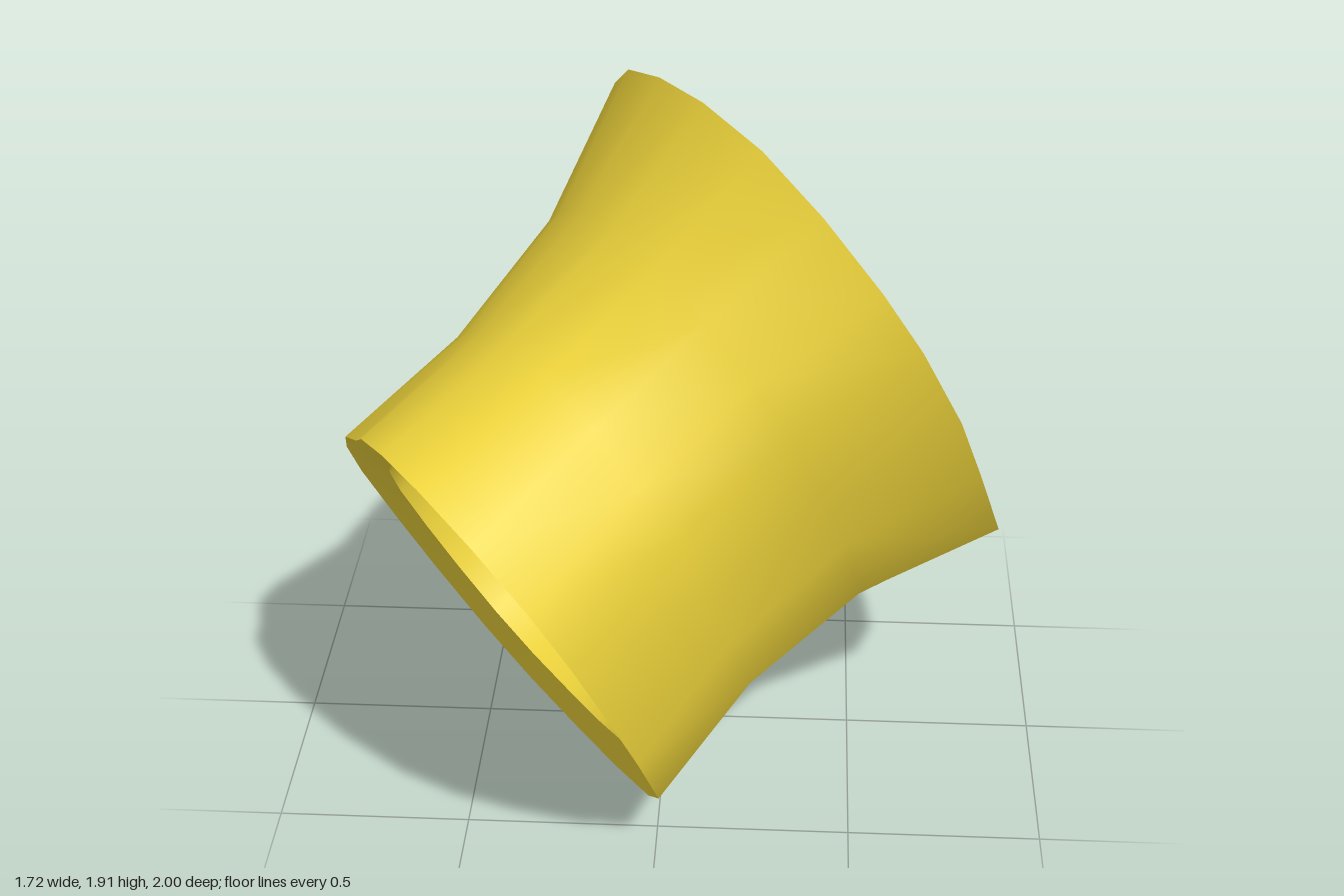
import * as THREE from 'three';

// Cross-sections of the two ends, as [y, z] offsets from their centres
const BACK_SECTION = [
  [0.735, 0.405], [0.70, 0.61], [0.585, 0.725], [0.425, 0.78], [0.275, 0.78],
  [0.05, 0.705], [-0.18, 0.565], [-0.425, 0.405], [-0.6, 0.155], [-0.735, -0.125],
  [-0.735, -0.405], [-0.66, -0.665], [-0.475, -0.785], [-0.21, -0.765], [-0.035, -0.735],
  [0.16, -0.635], [0.35, -0.46], [0.515, -0.27], [0.64, -0.045], [0.71, 0.185],
];
const FRONT_SECTION = [
  [0.597, 0.27], [0.592, 0.42], [0.519, 0.55], [0.39, 0.62], [0.232, 0.6],
  [0.022, 0.51], [-0.188, 0.4], [-0.398, 0.26], [-0.528, 0.08], [-0.593, -0.13],
  [-0.597, -0.3], [-0.568, -0.49], [-0.463, -0.6], [-0.278, -0.62], [-0.098, -0.585],
  [0.092, -0.51], [0.242, -0.38], [0.372, -0.205], [0.467, -0.02], [0.552, 0.12],
];
const BACK = new THREE.Vector3(0.338, 1.18, -0.217);
const FRONT = new THREE.Vector3(-0.433, 0.598, 0.38);
const AXIS = FRONT.clone().sub(BACK).normalize();
const STEPS = 3;
const { lerp } = THREE.MathUtils;

// Outer and inner walls: relative size, end inset and strength of the waist
const OUTER = { size: 1, inset: 0, pinch: 1 };
const INNER = { size: 0.77, inset: 0.034, pinch: 0.45 };

// Ring of points at t (0 = wide back end, 1 = narrow front end)
function ring(t, { size, inset, pinch }) {
  const centre = BACK.clone().lerp(FRONT, lerp(inset, 1 - inset, t));
  const waist = t * (1 - t) * pinch;
  return BACK_SECTION.map(([backY, backZ], k) => {
    const [frontY, frontZ] = FRONT_SECTION[k];
    const y = lerp(backY, frontY, t) * size * (1 - 0.48 * waist);
    const z = lerp(backZ, frontZ, t) * size * (1 - 0.72 * waist);
    const x = -0.665 * y + lerp(0.602, 0.69, t) * z; // tilted end plane
    const tilt = -0.12 * waist * (y + z); // extra lean of the waist
    return new THREE.Vector3(x, y, z).add(centre).addScaledVector(AXIS, tilt);
  });
}

// Smooth closed skin through a list of rings
function skin(name, rings, material) {
  const n = BACK_SECTION.length;
  const index = [];
  for (let i = 0; i < rings.length - 1; i++) {
    for (let k = 0; k < n; k++) {
      const a = i * n + k, b = i * n + (k + 1) % n;
      index.push(a, a + n, b, a + n, b + n, b);
    }
  }
  const geometry = new THREE.BufferGeometry().setFromPoints(rings.flat());
  geometry.setIndex(index);
  geometry.computeVertexNormals();
  const mesh = new THREE.Mesh(geometry, material);
  mesh.name = name;
  return mesh;
}

export function createModel() {
  const group = new THREE.Group();
  group.name = 'flaredCollar';
  const material = new THREE.MeshStandardMaterial({ color: 0xf0d63c });

  const outer = [], inner = [];
  for (let i = 0; i <= STEPS; i++) {
    outer.push(ring(i / STEPS, OUTER));
    inner.unshift(ring(i / STEPS, INNER));
  }

  // Walls, then the slightly dished rims joining them
  group.add(
    skin('outerWall', outer, material),
    skin('innerWall', inner, material),
    skin('frontRim', [outer[STEPS], inner[0]], material),
    skin('backRim', [inner[STEPS], outer[0]], material),
  );
  return group;
}
